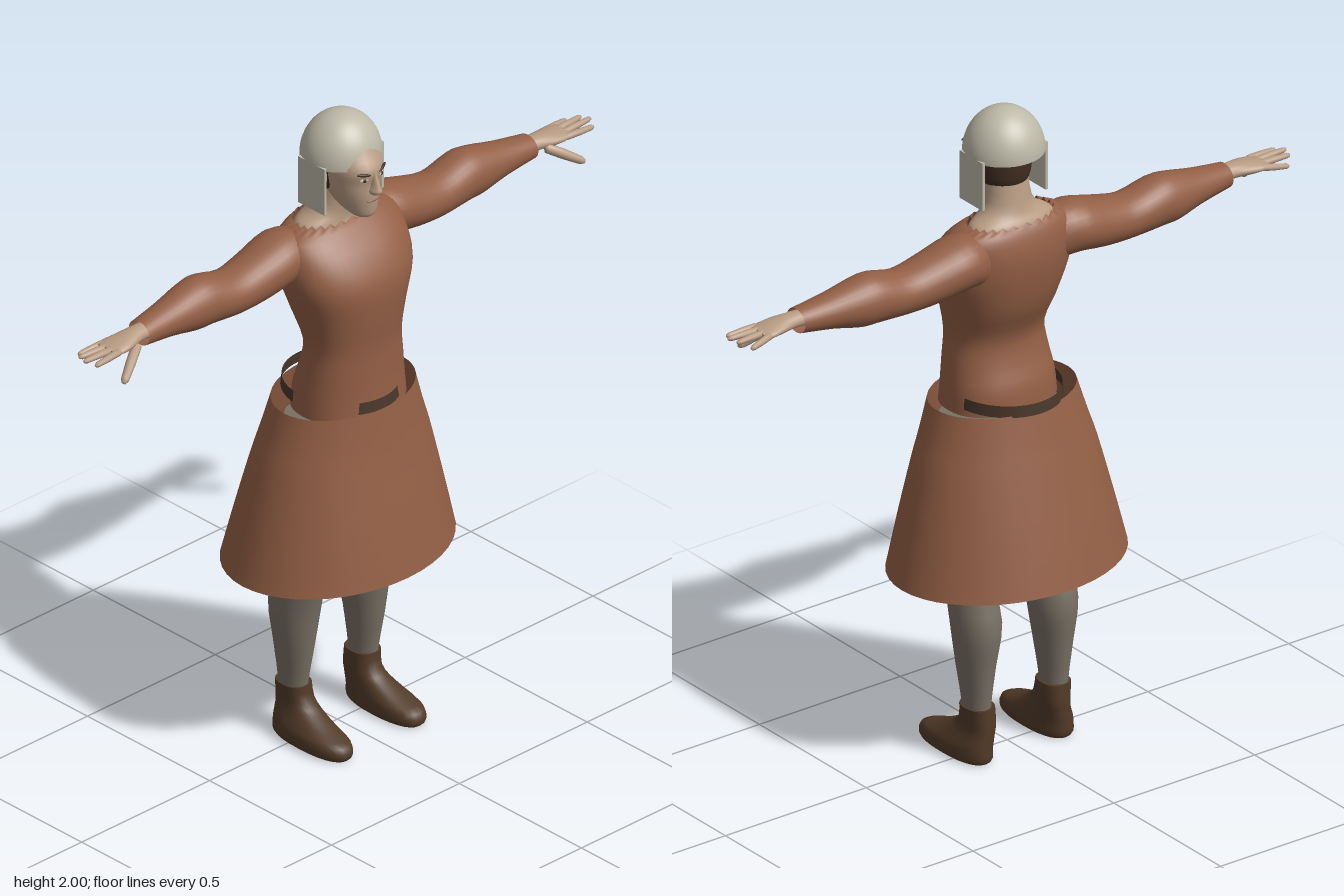
import * as THREE from 'three';

const mat = (name, color, side = THREE.FrontSide) => {
  const m = new THREE.MeshStandardMaterial({ color, side });
  m.name = name;
  return m;
};

// Catmull-Rom smoothing between rows of section values
function smoothRows(rows, n) {
  const out = [];
  for (let i = 0; i < rows.length - 1; i++) {
    const [a, b, c, d] = [i - 1, i, i + 1, i + 2].map(k => rows[Math.min(Math.max(k, 0), rows.length - 1)]);
    for (let s = 0; s < n; s++) {
      const t = s / n;
      out.push(b.map((_, k) => 0.5 * (2 * b[k] + (c[k] - a[k]) * t +
        (2 * a[k] - 5 * b[k] + 4 * c[k] - d[k]) * t * t + (3 * b[k] - a[k] - 3 * c[k] + d[k]) * t ** 3)));
    }
  }
  out.push(rows[rows.length - 1]);
  return out;
}

// Loft of rounded sections, each row: [position, centreU, radiusU, centreV, radiusV].
// Along y: u = x, v = z.  Along x: u = z, v = y.
function loft(rows, { axis = 'y', seg = 28, power = 1, steps = 3, caps = true, edit } = {}) {
  const pos = [], idx = [], rings = smoothRows(rows, steps);
  const add = (p, u, v) => { pos.push(...(axis === 'y' ? [u, p, v] : [p, v, u])); return pos.length / 3 - 1; };
  const bend = c => Math.sign(c) * Math.abs(c) ** power;
  const ring = ([p, cu, ru, cv, rv], last) => {
    const first = pos.length / 3;
    for (let j = 0; j < seg; j++) {
      const t = j / seg * Math.PI * 2;
      add(p + (last && edit ? edit(j) : 0), cu + ru * bend(Math.cos(t)), cv + rv * bend(Math.sin(t)));
    }
    return first;
  };
  rings.forEach((r, i) => {
    const b = ring(r, i === rings.length - 1), a = b - seg;
    for (let j = 0; i && j < seg; j++) {
      const k = (j + 1) % seg;
      idx.push(a + j, b + j, a + k, a + k, b + j, b + k);
    }
  });
  if (caps) [rings[0], rings[rings.length - 1]].forEach((r, end) => {
    const f = ring(r), c = add(r[0], r[1], r[3]);
    for (let j = 0; j < seg; j++) {
      const k = (j + 1) % seg;
      idx.push(c, f + (end ? k : j), f + (end ? j : k));
    }
  });
  const g = new THREE.BufferGeometry();
  g.setAttribute('position', new THREE.Float32BufferAttribute(pos, 3));
  g.setIndex(idx);
  g.computeVertexNormals();
  return g;
}

// Tapered rounded finger from p to q
function finger(p, q, r) {
  const a = new THREE.Vector3(...p), d = new THREE.Vector3(...q).sub(a), L = d.length();
  const prof = [[0.001, 0], [r, 0.01], [r, L * 0.5], [r * 0.8, L * 0.9], [r * 0.45, L * 0.98], [0.0005, L]];
  const g = new THREE.LatheGeometry(prof.map(v => new THREE.Vector2(...v)), 10);
  g.applyQuaternion(new THREE.Quaternion().setFromUnitVectors(new THREE.Vector3(0, 1, 0), d.normalize()));
  return g.translate(...p);
}

const blob = (sx, sy, sz, x, y, z, rz = 0, ry = 0) =>
  new THREE.SphereGeometry(1, 14, 8).scale(sx, sy, sz).rotateZ(rz).rotateY(ry).translate(x, y, z);

function mirrored(geo) {
  const g = geo.clone().scale(-1, 1, 1), ix = g.index.array;
  for (let i = 0; i < ix.length; i += 3) [ix[i], ix[i + 1]] = [ix[i + 1], ix[i]];
  return g;
}

export function createModel() {
  const tunic = mat('tunic brown', 0x935f45, THREE.DoubleSide);
  const skin = mat('skin', 0xb89c84);
  const stocking = mat('stocking grey', 0x787064);
  const leather = mat('shoe leather', 0x513a28);
  const beltMat = mat('belt leather', 0x49372a, THREE.DoubleSide);
  const steel = mat('helmet steel', 0xbdb9a8, THREE.DoubleSide);
  const hairMat = mat('hair', 0x3f2c20);
  const white = mat('eye white', 0xc8c0b4);
  const lipMat = mat('lips', 0x8c6252);

  const model = new THREE.Group();
  const part = (name, geo, material) => {
    const m = new THREE.Mesh(geo, material);
    m.name = name;
    model.add(m);
  };
  const pair = (name, geo, material) => {
    part(name + 'Left', geo, material);
    part(name + 'Right', mirrored(geo), material);
  };

  // Tunic body with a ragged collar
  part('tunicBody', loft([
    [1.08, 0, 0.176, 0.045, 0.137], [1.15, 0, 0.17, 0.046, 0.131], [1.22, 0, 0.16, 0.057, 0.118],
    [1.30, 0, 0.152, 0.062, 0.113], [1.40, 0, 0.175, 0.045, 0.14], [1.50, 0, 0.208, 0.034, 0.152],
    [1.58, 0, 0.215, 0.013, 0.135], [1.64, 0, 0.2, -0.007, 0.102], [1.672, 0, 0.14, -0.015, 0.075],
  ], { seg: 48, power: 0.88, caps: false, edit: j => (j % 2 ? -0.012 : 0.004) }), tunic);

  // Flared open skirt
  part('skirt', loft([
    [0.585, 0, 0.372, 0.002, 0.288], [0.75, 0, 0.333, 0.008, 0.252], [0.92, 0, 0.29, 0.014, 0.212],
    [1.0, 0, 0.264, 0.018, 0.194], [1.105, 0, 0.232, 0.024, 0.173],
  ], { seg: 44, caps: false }), tunic);

  // Belt, standing off the back and just showing at the front
  part('belt', loft([[1.1, 0, 0.165, 0.014, 0.178], [1.135, 0, 0.162, 0.014, 0.174]],
    { seg: 40, steps: 1, caps: false }), beltMat);

  // Sleeves
  pair('sleeve', loft([
    [0.12, -0.025, 0.07, 1.575, 0.08], [0.2, -0.03, 0.09, 1.585, 0.08], [0.3, -0.027, 0.083, 1.565, 0.075],
    [0.4, -0.025, 0.076, 1.553, 0.067], [0.5, -0.028, 0.075, 1.567, 0.076], [0.56, -0.027, 0.07, 1.566, 0.073],
    [0.65, -0.022, 0.056, 1.566, 0.053], [0.76, -0.015, 0.043, 1.565, 0.037],
  ], { axis: 'x', caps: false }), tunic);

  // Hands
  pair('palm', loft([
    [0.72, -0.015, 0.027, 1.568, 0.024], [0.78, -0.012, 0.031, 1.57, 0.023], [0.83, -0.01, 0.042, 1.567, 0.02],
    [0.87, -0.012, 0.046, 1.565, 0.015], [0.895, -0.012, 0.042, 1.565, 0.009],
  ], { axis: 'x', seg: 18 }), skin);
  [[-0.044, -0.062, 0.955, 1.552], [-0.022, -0.03, 0.982, 1.567],
    [0.001, 0.0, 0.992, 1.57], [0.023, 0.03, 0.975, 1.562]].forEach(([z0, z1, x, y], i) =>
    pair('finger' + (i + 1), finger([0.865, 1.566, z0], [x, y, z1], 0.0105), skin));
  pair('thumb', finger([0.795, 1.56, 0.015], [0.903, 1.492, 0.07], 0.015), skin);

  // Stockinged legs
  pair('leg', loft([
    [0.1, 0.137, 0.038, -0.04, 0.045], [0.18, 0.137, 0.038, -0.037, 0.05], [0.3, 0.137, 0.053, -0.034, 0.067],
    [0.43, 0.135, 0.07, -0.032, 0.083], [0.58, 0.136, 0.066, 0.002, 0.083],
    [0.8, 0.118, 0.092, 0.015, 0.108], [1.04, 0.095, 0.09, 0.03, 0.115],
  ]), stocking);

  // Shoes
  pair('shoe', loft([
    [0, 0.142, 0.052, 0.05, 0.138], [0.012, 0.143, 0.061, 0.05, 0.146], [0.04, 0.143, 0.06, 0.046, 0.142],
    [0.06, 0.14, 0.055, 0.018, 0.114], [0.09, 0.134, 0.046, -0.015, 0.081],
    [0.12, 0.132, 0.044, -0.035, 0.061], [0.17, 0.135, 0.044, -0.038, 0.055],
  ], { power: 0.85, steps: 2 }), leather);

  // Neck and head
  part('neck', loft([
    [1.62, 0, 0.15, -0.012, 0.084], [1.663, 0, 0.138, -0.015, 0.073], [1.69, 0, 0.096, -0.008, 0.066],
    [1.725, 0, 0.073, 0, 0.064], [1.8, 0, 0.066, 0.01, 0.06],
  ]), skin);
  part('head', loft([
    [1.702, 0, 0.02, 0.105, 0.022], [1.712, 0, 0.036, 0.1, 0.043], [1.74, 0, 0.054, 0.072, 0.077],
    [1.78, 0, 0.069, 0.053, 0.1], [1.82, 0, 0.078, 0.05, 0.101], [1.86, 0, 0.083, 0.05, 0.107],
    [1.9, 0, 0.08, 0.04, 0.092], [1.94, 0, 0.06, 0.035, 0.07], [1.965, 0, 0.03, 0.03, 0.035],
  ]), skin);
  part('hair', loft([
    [1.775, 0, 0.066, 0.015, 0.066], [1.8, 0, 0.08, 0.018, 0.076],
    [1.86, 0, 0.088, 0.02, 0.08], [1.9, 0, 0.085, 0.02, 0.078],
  ]), hairMat);

  // Face
  part('nose', loft([
    [1.788, 0, 0.013, 0.15, 0.018], [1.798, 0, 0.018, 0.152, 0.028], [1.815, 0, 0.012, 0.15, 0.025],
    [1.845, 0, 0.008, 0.149, 0.013], [1.862, 0, 0.008, 0.149, 0.008],
  ], { seg: 14 }), skin);
  part('mouth', blob(0.024, 0.004, 0.005, 0, 1.764, 0.148), lipMat);
  pair('eyeWhite', blob(0.014, 0.006, 0.004, 0.033, 1.838, 0.145, 0, 0.38), white);
  pair('iris', blob(0.006, 0.006, 0.004, 0.033, 1.838, 0.147, 0, 0.38), hairMat);
  pair('eyebrow', blob(0.022, 0.005, 0.005, 0.036, 1.857, 0.147, 0.18, 0.4), hairMat);
  pair('ear', blob(0.008, 0.028, 0.016, 0.085, 1.825, 0.03), skin);

  // Helmet bowl and cheek guards
  part('helmetBowl', new THREE.SphereGeometry(1, 36, 14, 0, Math.PI * 2, 0, Math.PI / 2)
    .scale(0.12, 0.135, 0.116).translate(0, 1.865, 0.015), steel);
  pair('cheekGuard', new THREE.BoxGeometry(0.009, 0.15, 0.108).translate(0.112, 1.8, 0.015), steel);

  return model;
}
